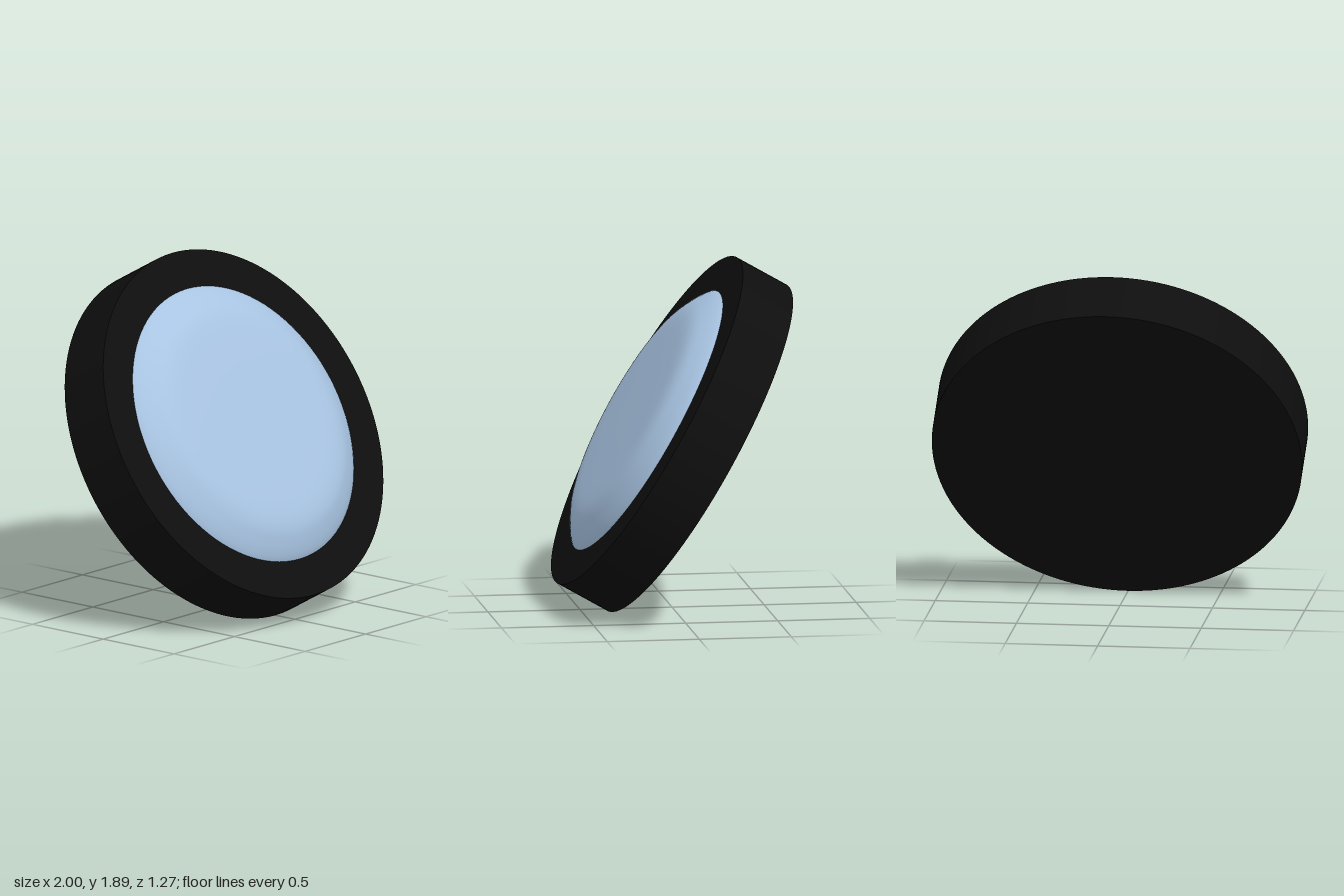
import * as THREE from 'three';

export function createModel() {
  const model = new THREE.Group();
  const black = new THREE.MeshStandardMaterial({ color: 0x0e0e0e });
  black.name = 'black';
  const paleBlue = new THREE.MeshStandardMaterial({ color: 0xa8c4e2 });
  paleBlue.name = 'paleBlue';

  // Everything is built along the disc axis, then leaned back
  const thickness = 0.314;
  const tilted = new THREE.Group();
  tilted.name = 'tiltedDisc';
  tilted.position.y = 0.945;
  tilted.rotation.x = Math.PI / 3;
  model.add(tilted);

  // Thick round body
  const body = new THREE.Mesh(new THREE.CylinderGeometry(1, 1, thickness, 128), black);
  body.name = 'body';
  tilted.add(body);

  // Shallow lens: rounded shoulder rising to a nearly flat face
  const shoulder = new THREE.SplineCurve([
    [0.79, 0], [0.765, 0.022], [0.715, 0.054], [0.64, 0.09],
    [0.55, 0.107], [0.4, 0.112], [0.2, 0.114], [0, 0.114],
  ].map(([r, h]) => new THREE.Vector2(r, h)));
  const profile = shoulder.getPoints(28);
  profile[profile.length - 1].x = 0;
  const lens = new THREE.Mesh(new THREE.LatheGeometry(profile, 96), paleBlue);
  lens.name = 'lens';
  lens.position.y = thickness / 2;
  tilted.add(lens);

  return model;
}
